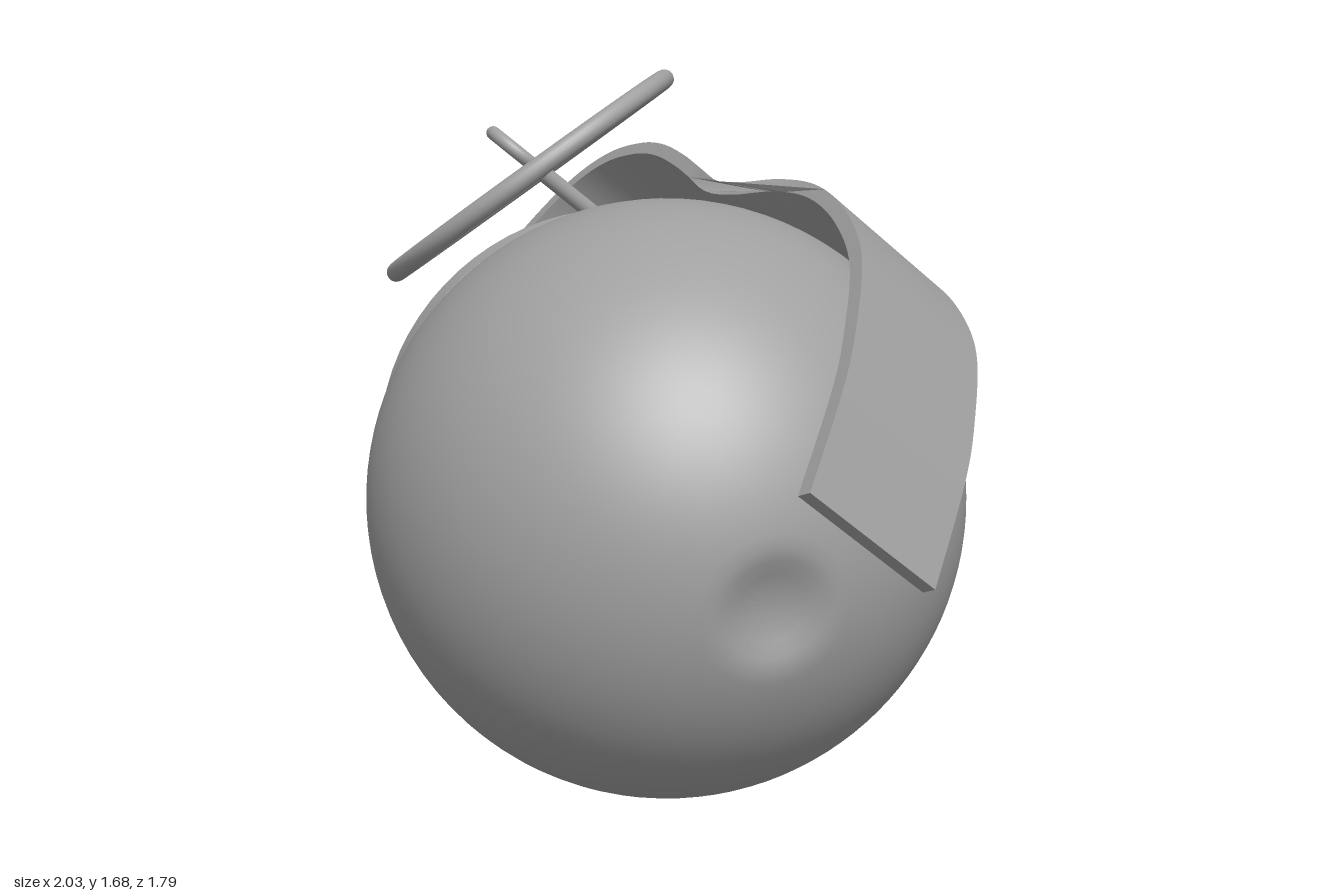
import * as THREE from 'three';
import { toCreasedNormals } from 'three/addons/utils/BufferGeometryUtils.js';

const V2 = (x, y) => new THREE.Vector2(x, y);

export function createModel() {
  const model = new THREE.Group();
  const metal = new THREE.MeshStandardMaterial({ color: 0xa0a0a0 });
  metal.name = 'grey metal';

  const add = (parent, name, geometry) => {
    const mesh = new THREE.Mesh(geometry, metal);
    mesh.name = name;
    parent.add(mesh);
    return mesh;
  };

  // Tilted frame: x runs along the neck, y towards the lever, z across the lever
  const axis = new THREE.Vector3(-0.775, 0.08, -0.627).normalize();
  const across = new THREE.Vector3(0.487, -0.64, -0.59);
  const up = across.clone().cross(axis).normalize();
  across.crossVectors(axis, up);
  const body = new THREE.Group();
  body.name = 'body';
  body.quaternion.setFromRotationMatrix(new THREE.Matrix4().makeBasis(axis, up, across));
  body.position.set(0.175, 0.71, 0.19);
  model.add(body);

  // Profiles are [radius, distance along the axis]
  const turned = (name, profile, segments = 72) => add(body, name,
    toCreasedNormals(new THREE.LatheGeometry(profile.map(([r, a]) => V2(r, a)), segments).rotateZ(-Math.PI / 2), 0.5));

  // Ball with a shallow dimple opposite the neck
  const R = 0.71;
  const ball = [[0, -0.665], [0.04, -0.667], [0.08, -0.677], [0.115, -0.69], [0.145, -0.694]];
  for (let i = 0; i <= 40; i++) {
    const t = 0.25 + (2.35 - 0.25) * i / 40;
    ball.push([R * Math.sin(t), -R * Math.cos(t)]);
  }
  turned('ball', ball, 96);

  // Collar, flared base, neck and end flange
  turned('collar', [[0.5, 0.45], [0.555, 0.45], [0.565, 0.46], [0.565, 0.482], [0.572, 0.485],
    [0.572, 0.535], [0.56, 0.55], [0.36, 0.592], [0.32, 0.605], [0.29, 0.63], [0.268, 0.67], [0.262, 0.7]]);
  turned('neck', [[0.262, 0.69], [0.264, 0.99], [0.27, 1.015], [0.293, 1.03], [0.305, 1.05],
    [0.307, 1.075], [0.298, 1.095], [0.28, 1.105], [0, 1.105]]);

  // Safety lever: bent strip, extruded and then widened beyond the kink
  const curve = new THREE.SplineCurve([
    [-0.82, 0.25], [-0.66, 0.46], [-0.54, 0.58], [-0.36, 0.715], [-0.17, 0.78], [0.015, 0.797], [0.19, 0.765],
    [0.33, 0.7], [0.42, 0.672], [0.54, 0.678], [0.66, 0.682], [0.8, 0.675], [0.92, 0.645], [1.05, 0.575],
    [1.14, 0.46], [1.185, 0.3], [1.2, 0.1], [1.21, -0.15], [1.212, -0.31], [1.19, -0.37], [1.13, -0.385],
    [1.08, -0.36], [1.065, -0.315]].map(([x, y]) => V2(x, y)));
  const outer = [], inner = [], steps = 120, thick = 0.036;
  for (let i = 0; i <= steps; i++) {
    const p = curve.getPointAt(i / steps), t = curve.getTangentAt(i / steps);
    outer.push(p);
    inner.unshift(V2(p.x + t.y * thick, p.y - t.x * thick));
  }
  const lever = new THREE.ExtrudeGeometry(new THREE.Shape([...outer, ...inner]), { depth: 1, bevelEnabled: false, steps: 1 });
  lever.translate(0, 0, -0.5);
  const pos = lever.attributes.position;
  for (let i = 0; i < pos.count; i++) {
    const width = 0.39 + 0.075 * THREE.MathUtils.smoothstep(pos.getX(i), 0.15, 0.5);
    pos.setZ(i, pos.getZ(i) * width);
  }
  add(body, 'lever', toCreasedNormals(lever, 0.6));

  // Pin through the fuze, with a round head and an eye
  const pin = new THREE.Group();
  pin.name = 'pin';
  pin.position.set(0.935, 0.42, 0);
  body.add(pin);
  const rod = (name, r, from, to) => add(pin, name,
    new THREE.CylinderGeometry(r, r, to - from, 24).rotateX(Math.PI / 2).translate(0, 0, (from + to) / 2));
  rod('pinRod', 0.022, -0.41, 0.27);
  rod('pinHead', 0.044, 0.25, 0.3);
  add(pin, 'pinEye', new THREE.TorusGeometry(0.08, 0.018, 16, 48).rotateX(Math.PI / 2).translate(0, 0, -0.485));

  // Large pull ring hanging in the eye
  const ring = add(model, 'pullRing', new THREE.TorusGeometry(0.41, 0.024, 16, 96));
  ring.position.set(-0.345, 1.41, -0.01);
  ring.quaternion.setFromUnitVectors(new THREE.Vector3(0, 0, 1), new THREE.Vector3(-0.55, 0.8, 0.21).normalize());

  return model;
}
